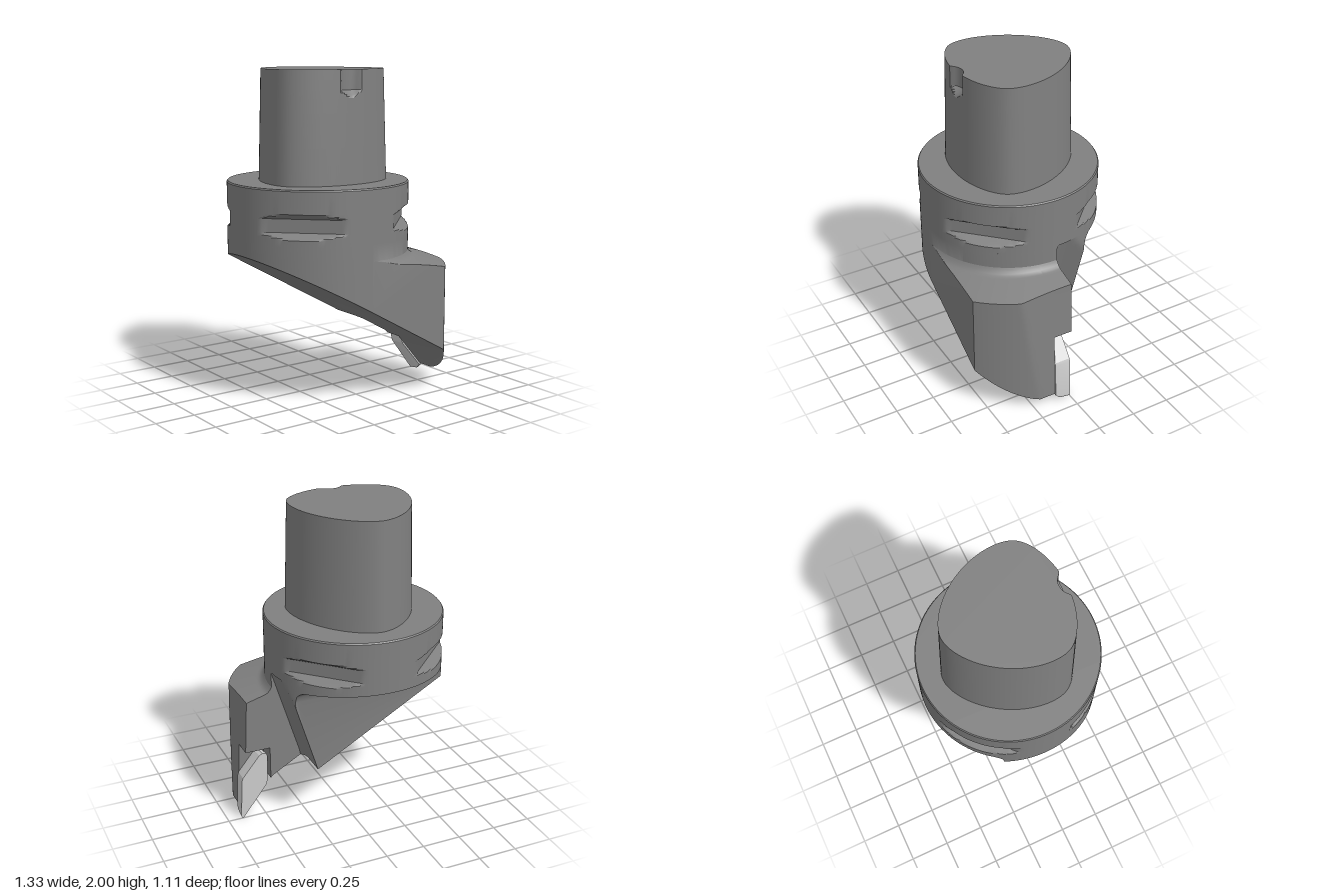
import * as THREE from 'three';
import { toCreasedNormals } from 'three/addons/utils/BufferGeometryUtils.js';

const CX = -0.11;   // tool axis in x
const R = 0.555;    // flange radius
const TOP = 1.0;    // height where the head meets the flange

// Skin a series of closed rings running along +axis ('y' or 'z'), capping both ends.
function loft(rings, axis, crease = 0.5) {
  const flat = (r) => r.map((p) => (axis === 'z' ? new THREE.Vector2(p.x, p.y) : new THREE.Vector2(p.z, p.x)));
  if (THREE.ShapeUtils.area(flat(rings[rings.length >> 1])) < 0) rings = rings.map((r) => r.slice().reverse());
  const pos = [];
  const ab = new THREE.Vector3(), ac = new THREE.Vector3();
  const tri = (a, b, c) => {
    if (ab.subVectors(b, a).cross(ac.subVectors(c, a)).length() < 1e-9) return;
    for (const p of [a, b, c]) pos.push(p.x, p.y, p.z);
  };
  const n = rings[0].length;
  for (let i = 0; i < rings.length - 1; i++) {
    for (let j = 0; j < n; j++) {
      const k = (j + 1) % n, lo = rings[i], hi = rings[i + 1];
      tri(lo[j], lo[k], hi[k]);
      tri(lo[j], hi[k], hi[j]);
    }
  }
  const first = rings[0], last = rings[rings.length - 1];
  for (const [a, b, c] of THREE.ShapeUtils.triangulateShape(flat(first), [])) tri(first[c], first[b], first[a]);
  for (const [a, b, c] of THREE.ShapeUtils.triangulateShape(flat(last), [])) tri(last[a], last[b], last[c]);
  const g = new THREE.BufferGeometry();
  g.setAttribute('position', new THREE.Float32BufferAttribute(pos, 3));
  return toCreasedNormals(g, crease);
}

// Slice positions spaced evenly by angle around the flange cylinder.
function slices(z0, z1, n) {
  const a0 = Math.asin(z0 / R), a1 = Math.asin(z1 / R);
  return Array.from({ length: n + 1 }, (_, i) => R * Math.sin(a0 + ((a1 - a0) * i) / n));
}

const halfChord = (z) => Math.sqrt(Math.max(R * R - z * z, 1e-6));
const slope = (x) => 0.91 - 0.565 * (x + 0.665);          // long slanted underside
const tipSlope = (x) => 0.28 - 1.16 * (x - 0.45);         // steeper underside near the tip
const sideTilt = (y) => 0.61 + (0.82 - y) * 0.05;         // leaning outer side

// Conical shoulder with a small fillet at the flange
function shoulder(x, z) {
  const d = Math.hypot(x - CX, z) - R;
  return 0.87 - 0.28 * d + 0.03 * Math.max(0, 1 - d / 0.04) ** 2;
}

// Cross-section of the front half of the head with its overhanging arm
function headSection(z, pocket) {
  const s = halfChord(z), xl = CX - s, xf = CX + s;
  const xr = CX + Math.sqrt(0.787 ** 2 - z * z);
  const pts = [[xl, slope(xl)], [xl, TOP], [xf, TOP]];
  const xt = Math.min(0.61, xr);
  for (let i = 0; i <= 12; i++) {
    const x = xf + (xt - xf) * (i / 12) ** 2;
    pts.push([x, shoulder(x, z)]);
  }
  const yt = shoulder(xt, z);
  const yb = pocket ? 0.48 : tipSlope(Math.min(xr, 0.6485));
  for (let i = 1; i <= 12; i++) {
    const y = yt + ((yb - yt) * i) / 12;
    pts.push([Math.min(sideTilt(y), xr), y]);
  }
  if (pocket) pts.push([0.465, 0.48], [0.465, tipSlope(0.465)]);
  const xk = Math.min(0.45, xr);
  pts.push([xk, slope(xk)]);
  return pts.map(([x, y]) => new THREE.Vector3(x, y, z));
}

// Cross-section of the rear half: underside, chip-clearance wall, flange side
function rearSection(z, cut) {
  const s = halfChord(z), xl = CX - s, xf = CX + s;
  const near = Math.max(0, 1 - (-0.02 - z) / 0.08);
  const wall = (y) => 0.24 + 0.31 * (y - 0.4) + 0.02 * near * near;
  const yEnd = Math.max(cut, 0.4);
  const xEnd = Math.min(xf, wall(yEnd));
  const pts = [[xl, TOP]];
  for (let i = 0; i <= 24; i++) {
    const x = xl + ((xEnd - xl) * i) / 24;
    pts.push([x, Math.max(slope(x), cut)]);
  }
  const y0 = pts[pts.length - 1][1];
  for (let i = 1; i <= 16; i++) {
    const y = y0 + ((TOP - y0) * i) / 16;
    pts.push([Math.min(xf, wall(y)), y]);
  }
  return pts.map(([x, y]) => new THREE.Vector3(x, y, z));
}

function rearHead() {
  // relief under the back of the flange, ending in a fillet at z = -0.255
  const relief = (z) => {
    if (z < -0.335) return 0.97 + (0.025 * (-0.335 - z)) / 0.22;
    const t = (z + 0.335) / 0.08;
    return 0.97 - 0.08 * (1 - Math.sqrt(Math.max(0, 1 - t * t)));
  };
  const rings = [...slices(-R, -0.335, 12), ...slices(-0.335, -0.255, 8).slice(1)].map((z) => rearSection(z, relief(z)));
  rings.push(...slices(-0.255, -0.02, 12).map((z) => rearSection(z, 0)));
  return loft(rings, 'z');
}

// Flange with four trapezoidal gripper slots at 45 degrees
function flange() {
  const rows = [TOP, 1.04, 1.05, 1.06, 1.075, 1.155, 1.165, 1.175, 1.19, 1.322, 1.33];
  const depth = (y) => {
    if (y <= 1.04 || y >= 1.19) return 0;
    return 0.062 * Math.min(1, (y - 1.04) / 0.035, (1.19 - y) / 0.035);
  };
  const N = 192;
  return loft(rows.map((y) => Array.from({ length: N }, (_, i) => {
    const a = (i / N) * Math.PI * 2;
    const off = (a % (Math.PI / 2)) - Math.PI / 4;
    const r = Math.min(y > 1.325 ? R - 0.006 : R, (R - depth(y)) / Math.cos(off));
    return new THREE.Vector3(CX + r * Math.cos(a), y, r * Math.sin(a));
  })), 'y', 0.4);
}

// Tapered three-lobed shank with a drilled key notch at the front
function shank() {
  const rows = [1.33, 1.55, 1.75, 1.835, 1.845, 1.855, 1.865, 1.88, 1.94, 2];
  const N = 288, A = 0.383, e = 0.03;
  return loft(rows.map((y) => {
    const k = 1.02 - (0.05 * (y - 1.33)) / 0.67;
    const rg = y < 1.84 ? 0 : Math.min(0.085, 0.04 + (0.045 * (y - 1.84)) / 0.04);
    return Array.from({ length: N }, (_, i) => {
      const t = (i / N) * Math.PI * 2;
      const x = k * (A * Math.sin(t) + 2 * e * Math.sin(2 * t) + e * Math.sin(4 * t));
      let z = k * (A * Math.cos(t) - 2 * e * Math.cos(2 * t) + e * Math.cos(4 * t));
      if (z > 0 && Math.abs(x) < rg) z = Math.min(z, 0.385 - Math.sqrt(rg * rg - x * x));
      return new THREE.Vector3(CX + x, y, z);
    });
  }), 'y', 0.4);
}

// Rhombic cutting insert, tapering towards its seat
function insert() {
  const outline = [[0.65, 0], [0.661, 0.003], [0.665, 0.015], [0.652, 0.27], [0.645, 0.29], [0.53, 0.43],
    [0.51, 0.44], [0.485, 0.435], [0.475, 0.41], [0.483, 0.235], [0.49, 0.21]];
  const ring = (z, k, lift) => outline.map(([x, y]) =>
    new THREE.Vector3(0.57 + (x - 0.57) * k, Math.max(0.22 + (y - 0.22) * k, lift), z));
  return loft([ring(0, 1, 0), ring(0.07, 0.96, 0.01), ring(0.1, 0.92, 0.04)], 'z', 0.3);
}

export function createModel() {
  const group = new THREE.Group();
  const steel = new THREE.MeshStandardMaterial({ color: 0x808080 });
  const carbide = new THREE.MeshStandardMaterial({ color: 0xcccccc });
  const add = (name, geometry, material = steel) => {
    const mesh = new THREE.Mesh(geometry, material);
    mesh.name = name;
    group.add(mesh);
  };
  add('shank', shank());
  add('flange', flange());
  add('headFront', loft(slices(0.1, R, 28).map((z) => headSection(z, false)), 'z'));
  add('headPocket', loft(slices(-0.02, 0.1, 6).map((z) => headSection(z, true)), 'z'));
  add('headRear', rearHead());
  add('cuttingInsert', insert(), carbide);
  return group;
}
